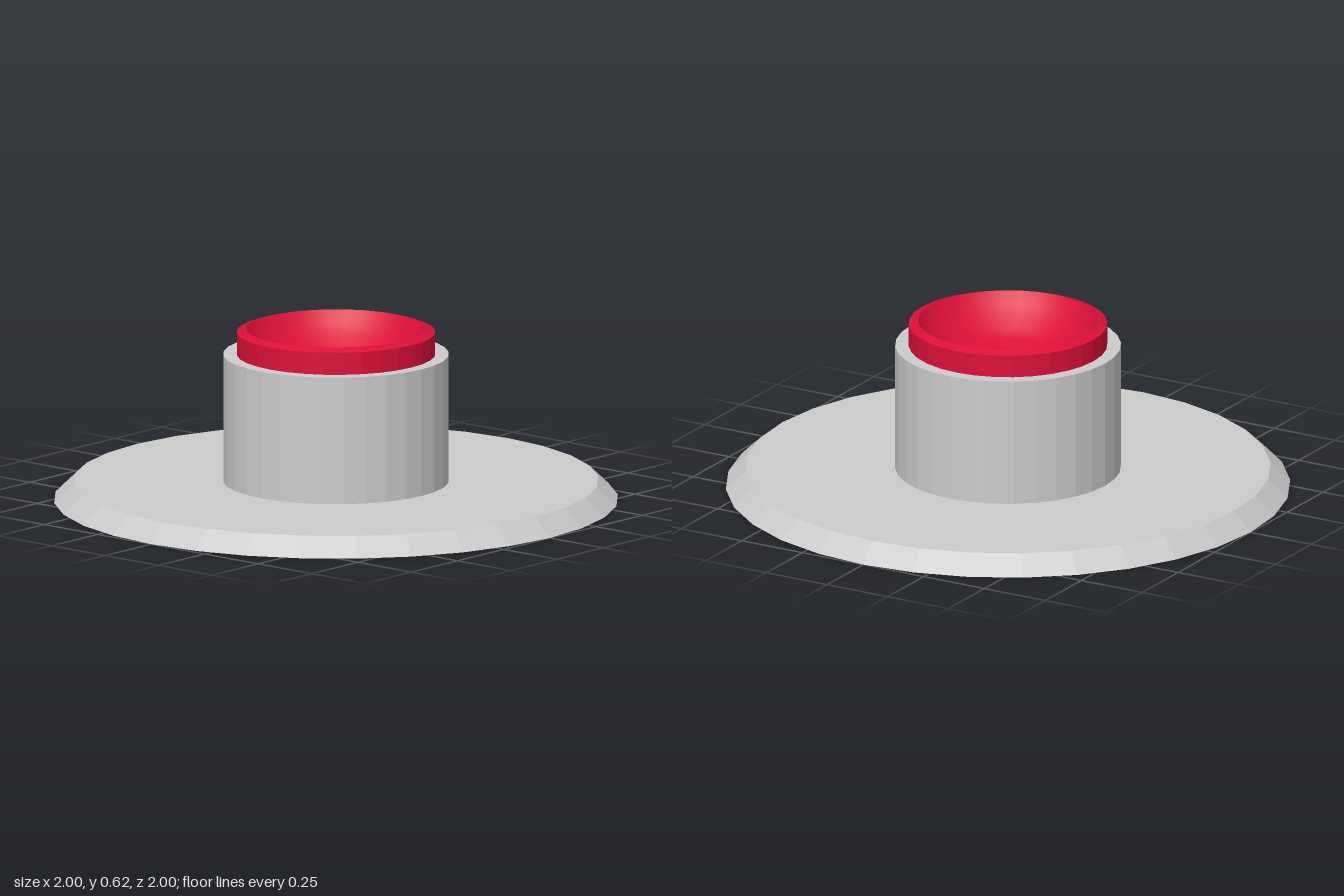
import * as THREE from 'three';

const SIDES = 32;

// Turned part from [radius, height] pairs, listed from the outside bottom up and inward
function turned(name, profile, color, flatShading = true) {
  const points = profile.map(([r, y]) => new THREE.Vector2(r, y));
  const material = new THREE.MeshStandardMaterial({ color, flatShading, side: THREE.DoubleSide });
  const mesh = new THREE.Mesh(new THREE.LatheGeometry(points, SIDES), material);
  mesh.name = name;
  return mesh;
}

export function createModel() {
  const group = new THREE.Group();
  group.name = 'pushButton';
  const grey = 0xcccccc;
  const red = 0xdc1038;

  // Bevelled mounting plate, hollow underneath
  group.add(turned('basePlate', [[1, 0], [0.93, 0.067], [0, 0.067]], grey));

  // Collar with a narrow top ring around the button
  group.add(turned('collar', [[0.4, 0.067], [0.4, 0.525], [0.35, 0.525]], grey));

  // Button side wall and chamfered rim
  group.add(turned('buttonRim', [[0.352, 0.5], [0.352, 0.605], [0.318, 0.617]], red));

  // Concave finger dish
  group.add(turned('buttonDish', [
    [0.318, 0.617], [0.295, 0.575], [0.26, 0.54], [0.22, 0.508],
    [0.185, 0.482], [0.11, 0.465], [0, 0.46],
  ], red, false));

  return group;
}
